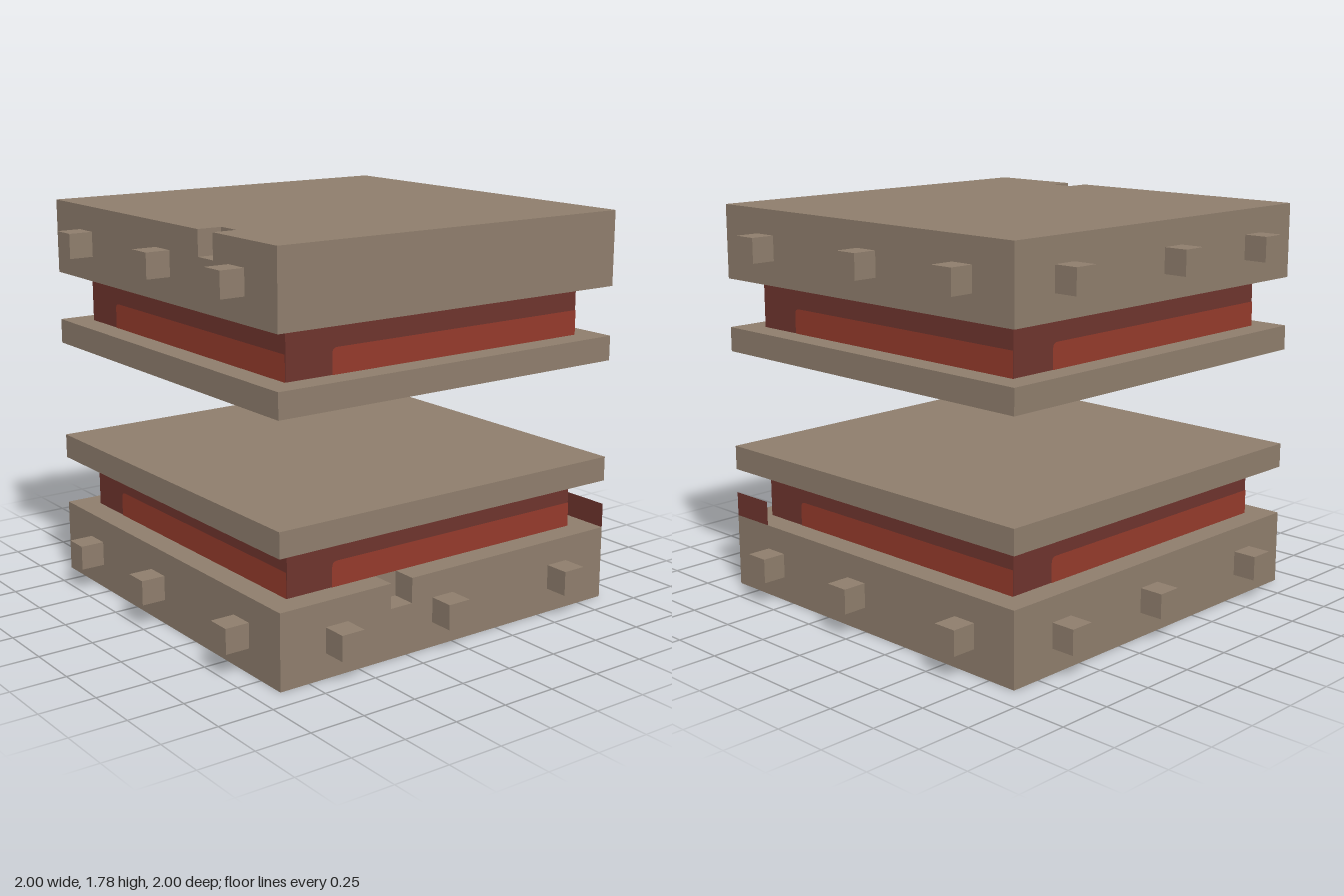
import * as THREE from 'three';

const U = 1 / 9; // module size: the whole block is 18 units wide

export function createModel() {
  const model = new THREE.Group();
  model.name = 'steppedBlock';

  const material = (name, color, extra = {}) => {
    const m = new THREE.MeshStandardMaterial({ color, ...extra });
    m.name = name;
    return m;
  };
  const stone = material('stone', 0x8e7d6c);
  const darkRed = material('darkRed', 0x6e342d, { side: THREE.DoubleSide });
  const brightRed = material('brightRed', 0x943a2b);

  const add = (name, geometry, mat, parent = model) => {
    const mesh = new THREE.Mesh(geometry, mat);
    mesh.name = name;
    parent.add(mesh);
    return mesh;
  };

  // Square layer of half width h between heights y0 and y1
  const layer = (name, h, y0, y1, mat) => {
    const g = new THREE.BoxGeometry(2 * h * U, (y1 - y0) * U, 2 * h * U);
    add(name, g.translate(0, ((y0 + y1) / 2) * U, 0), mat);
  };

  // One-unit layer with a square notch cut in the side facing `turn`
  const notchedLayer = (name, y0, notchX, turn) => {
    const outline = [
      [-8, -8], [notchX, -8], [notchX, -7], [notchX + 1, -7],
      [notchX + 1, -8], [8, -8], [8, 8], [-8, 8],
    ].map(([x, y]) => new THREE.Vector2(x * U, y * U));
    const g = new THREE.ExtrudeGeometry(new THREE.Shape(outline), { depth: U, bevelEnabled: false });
    g.rotateX(-Math.PI / 2).rotateY(turn * Math.PI / 2).translate(0, y0 * U, 0);
    add(name, g, stone);
  };

  // Studs on each listed side (0 front, 1 right of view, 2 back, 3 opposite)
  const studs = (name, sides, middle, y) => {
    for (const side of sides) {
      const row = new THREE.Group();
      row.name = name;
      row.rotation.y = side * Math.PI / 2;
      for (const x of [-5.5, middle, 5.5]) {
        add('stud', new THREE.BoxGeometry(U, U, U).translate(x * U, y * U, 8.5 * U), stone, row);
      }
      model.add(row);
    }
  };

  // Bright band with one softened corner, laid on each side of a core
  const bands = (name, y0) => {
    const r = 0.025, l = -5 * U, b = y0 * U, t = b + U;
    const s = new THREE.Shape();
    s.moveTo(l, b).lineTo(7 * U, b).lineTo(7 * U, t).lineTo(l + r, t);
    s.quadraticCurveTo(l, t, l, t - r);
    for (let side = 0; side < 4; side++) {
      const g = new THREE.ShapeGeometry(s, 4).translate(0, 0, 7 * U + 0.003);
      add(name, g.rotateY(side * Math.PI / 2), brightRed);
    }
  };

  // Lower half
  layer('lowerSlab', 8, 0, 2, stone);
  notchedLayer('lowerSlabRim', 2, -3, 1);
  layer('lowerCore', 7, 3, 5, darkRed);
  bands('lowerBand', 3);
  layer('lowerPlate', 8, 5, 6, stone);
  studs('lowerStuds', [0, 1, 2, 3], -0.5, 1.5);

  // Thin red tab standing on the back edge
  add('cornerTab', new THREE.PlaneGeometry(2 * U, U).translate(7 * U, 3.5 * U, -8 * U), darkRed);

  // Upper half, floating above; one side has no studs
  layer('upperPlate', 8, 10, 11, stone);
  layer('upperCore', 7, 11, 13, darkRed);
  bands('upperBand', 11);
  layer('upperSlab', 8, 13, 15, stone);
  notchedLayer('upperSlabRim', 15, 3, 0);
  studs('upperStuds', [0, 2, 3], 0.5, 14.5);

  return model;
}
